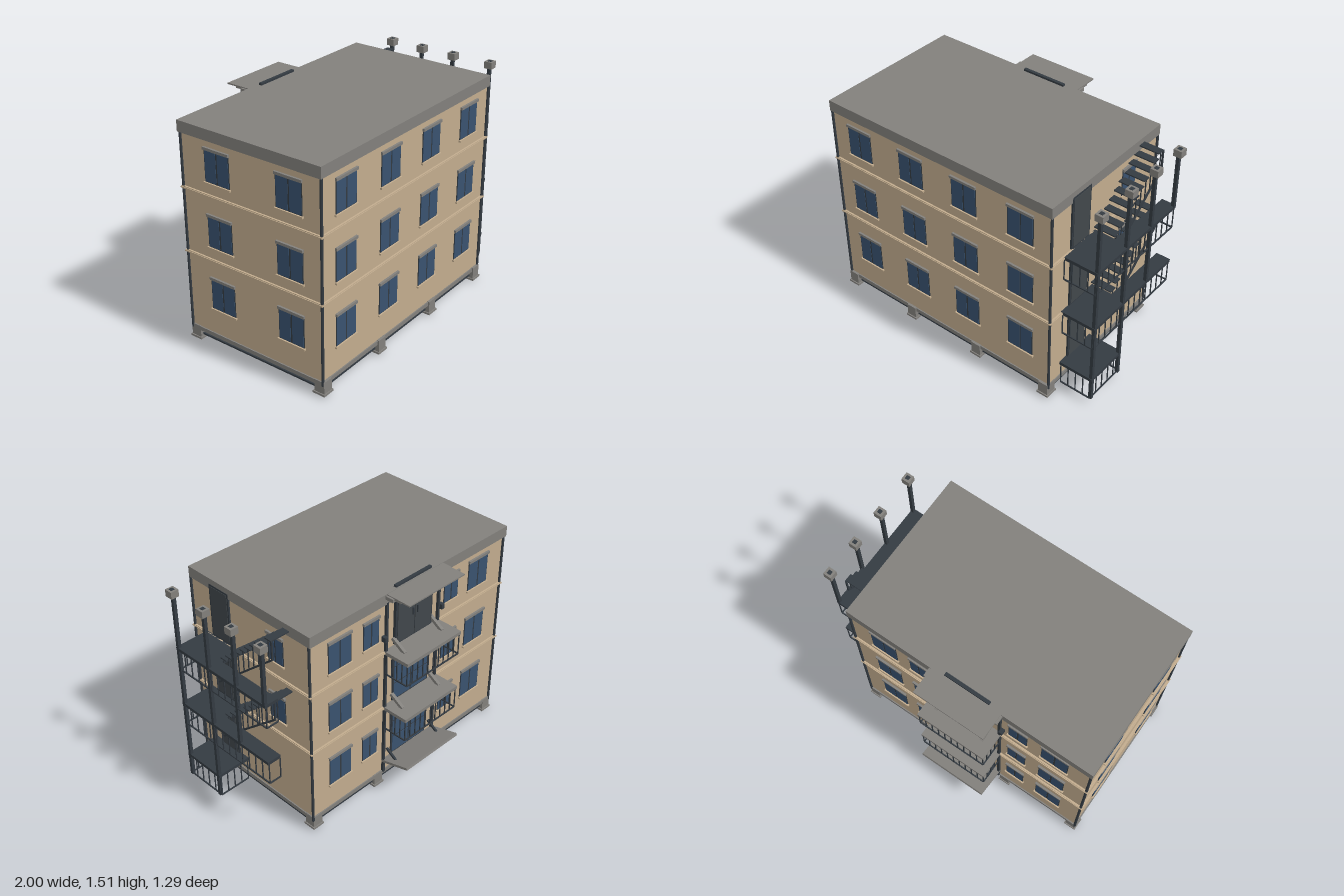
import * as THREE from 'three';

const mat = (name, color) => {
  const m = new THREE.MeshStandardMaterial({ color });
  m.name = name;
  return m;
};

export function createModel() {
  const tan = mat('tan wall', 0xc2ac8e);
  const gray = mat('concrete gray', 0x82807c);
  const steel = mat('dark steel', 0x343b42);
  const door = mat('door gray', 0x41474b);
  const glass = mat('blue glass', 0x39526f);
  const root = new THREE.Group();

  const group = (name, parent = root) => {
    const g = new THREE.Group();
    g.name = name;
    parent.add(g);
    return g;
  };
  // box from its limits
  const box = (p, name, m, x0, x1, y0, y1, z0, z1) => {
    const b = new THREE.Mesh(new THREE.BoxGeometry(x1 - x0, y1 - y0, z1 - z0), m);
    b.position.set((x0 + x1) / 2, (y0 + y1) / 2, (z0 + z1) / 2);
    b.name = name;
    p.add(b);
    return b;
  };
  // square bar between two points
  const bar = (p, name, m, a, c, w = 0.008, d = w) => {
    const A = new THREE.Vector3(...a), C = new THREE.Vector3(...c), dir = C.clone().sub(A);
    const b = new THREE.Mesh(new THREE.BoxGeometry(w, dir.length(), d), m);
    b.position.copy(A).add(C).multiplyScalar(0.5);
    b.quaternion.setFromUnitVectors(new THREE.Vector3(0, 1, 0), dir.normalize());
    b.name = name;
    p.add(b);
  };

  const X0 = -0.985, X1 = 0.73, Z0 = -0.415, Z1 = 0.62;
  // rectangular ring round the building: grows outward by o, t wide
  const ring = (name, m, y0, y1, o, t) => {
    const rect = (C, e) => {
      const s = new C();
      s.moveTo(X0 - e, -Z1 - e); s.lineTo(X1 + e, -Z1 - e);
      s.lineTo(X1 + e, -Z0 + e); s.lineTo(X0 - e, -Z0 + e);
      s.closePath();
      return s;
    };
    const s = rect(THREE.Shape, o);
    s.holes.push(rect(THREE.Path, o - t));
    const g = new THREE.ExtrudeGeometry(s, { depth: y1 - y0, bevelEnabled: false });
    const mesh = new THREE.Mesh(g.rotateX(-Math.PI / 2), m);
    mesh.position.y = y0;
    mesh.name = name;
    root.add(mesh);
  };

  // main body, recessed underside, slab and bands
  box(root, 'walls', tan, X0, X1, 0.2, 1.42, Z0, Z1);
  ring('parapet', tan, 0.1, 0.2, 0, 0.04);
  ring('coping', gray, 0.078, 0.106, 0.008, 0.055);
  ring('upperRail', steel, 0.064, 0.077, -0.01, 0.013);
  ring('lowerRail', steel, 0.04, 0.051, -0.01, 0.012);
  for (const y of [0.623, 1.056]) {
    ring('floorBand', tan, y, y + 0.018, 0.012, 0.02);
    ring('floorBandEdge', tan, y + 0.005, y + 0.013, 0.017, 0.02);
  }
  box(root, 'topSlab', gray, -1, 0.74, 1.42, 1.494, -0.432, 0.632);

  // corner pipes
  for (const x of [X0 - 0.003, X1 + 0.005]) for (const z of [Z0 - 0.004, Z1 + 0.004]) {
    const p = new THREE.Mesh(new THREE.CylinderGeometry(0.009, 0.009, 1.34, 10), steel);
    p.position.set(x, 0.75, z);
    p.name = 'cornerPipe';
    root.add(p);
  }

  // block feet
  for (const x of [-0.957, -0.412, 0.152, 0.7]) for (const z of [-0.388, 0.6]) {
    const f = group('foot');
    box(f, 'footBlock', gray, x - 0.036, x + 0.036, 0.025, 0.108, z - 0.037, z + 0.037);
    box(f, 'footPlate', gray, x - 0.043, x + 0.043, 0.014, 0.028, z - 0.044, z + 0.044);
  }

  // box units in the recess
  for (const x of [-0.36, 0.105]) {
    const u = group('boxUnit');
    box(u, 'unitBody', gray, x - 0.12, x + 0.12, 0.03, 0.2, 0.04, 0.24);
    box(u, 'unitPlate', gray, x - 0.145, x + 0.145, 0, 0.016, 0.02, 0.26);
    box(u, 'unitLip', gray, x - 0.132, x + 0.132, 0.016, 0.034, 0.03, 0.25);
    for (const z of [0.038, 0.242]) {
      box(u, 'unitFrame', steel, x - 0.075, x + 0.075, 0.06, 0.15, z - 0.003, z + 0.003);
      box(u, 'unitGlass', glass, x - 0.065, x + 0.065, 0.07, 0.14, z - 0.004, z + 0.004);
    }
  }

  // windows: local +z is outward
  const windowAt = (x, y, z, turn, w, h = 0.235) => {
    const g = group('window');
    g.position.set(x, y, z);
    g.rotation.y = turn;
    const a = w / 2;
    box(g, 'frame', steel, -a + 0.004, a - 0.004, 0.01, h - 0.015, -0.004, 0.004);
    for (const s of [-1, 1]) {
      const c = s * (a / 2 - 0.001), q = a / 2 - 0.007;
      box(g, 'pane', glass, c - q, c + q, 0.016, h - 0.02, 0.001, 0.006);
    }
    box(g, 'lintel', gray, -a, a, h - 0.018, h, -0.004, 0.014);
    box(g, 'sill', tan, -a - 0.004, a + 0.004, 0, 0.012, -0.004, 0.014);
  };
  for (const y of [0.275, 0.708, 1.14]) {
    for (const x of [-0.765, -0.338, 0.085, 0.51]) windowAt(x, y, Z1, 0, 0.198);
    for (const z of [-0.14, 0.395]) windowAt(X0, y, z, -Math.PI / 2, 0.198);
    for (const s of [-1, 1]) {
      windowAt(-0.127 + s * 0.62, y, Z0, Math.PI, 0.195);
      windowAt(-0.127 + s * 0.36, y + 0.015, Z0, Math.PI, 0.14, 0.21);
    }
    if (y > 0.6) windowAt(X1, y + 0.015, -0.13, Math.PI / 2, 0.145, 0.21);
  }

  // side doors
  for (const [y0, y1] of [[0.21, 0.6], [0.648, 1.033], [1.085, 1.455]]) {
    box(root, 'sideDoorFrame', steel, X1 - 0.01, X1 + 0.012, y0, y1, 0.268, 0.442);
    box(root, 'sideDoor', door, X1, X1 + 0.015, y0 + 0.012, y1 - 0.012, 0.28, 0.43);
  }

  // back bay: pipes, door and tall glazing
  const C = -0.127;
  for (const s of [-1, 1]) {
    const x = C + s * 0.235;
    box(root, 'bayPipe', steel, x - 0.008, x + 0.008, 0.1, 1.43, Z0 - 0.018, Z0);
    box(root, 'wallLamp', steel, x + s * 0.02 - 0.013, x + s * 0.02 + 0.013, 1.16, 1.195, Z0 - 0.035, Z0);
  }
  box(root, 'backDoorFrame', steel, C - 0.165, C + 0.165, 1.09, 1.455, Z0 - 0.02, Z0);
  for (const s of [-1, 1]) {
    const c = C + s * 0.077;
    box(root, 'backDoorLeaf', door, c - 0.073, c + 0.073, 1.1, 1.445, Z0 - 0.025, Z0);
    box(root, 'doorHandle', steel, C + s * 0.02 - 0.004, C + s * 0.02 + 0.004, 1.25, 1.3, Z0 - 0.033, Z0 - 0.02);
  }
  for (const [y0, y1] of [[0.21, 0.61], [0.65, 1.04]]) {
    const g = group('tallGlazing');
    box(g, 'glazingFrame', steel, C - 0.165, C + 0.165, y0, y1, Z0 - 0.008, Z0);
    const h = (y1 - y0 - 0.01) / 3;
    for (let r = 0; r < 3; r++) for (const s of [-1, 1]) {
      const c = C + s * 0.08, y = y0 + 0.005 + r * h;
      box(g, 'glazingPane', glass, c - 0.074, c + 0.074, y + 0.005, y + h - 0.005, Z0 - 0.011, Z0 - 0.002);
    }
  }

  // balconies with hanging railings and braces
  for (const y of [0.622, 1.052]) {
    const g = group('balcony');
    box(g, 'balconySlab', gray, C - 0.245, C + 0.245, y, y + 0.024, -0.612, Z0);
    const xa = C - 0.238, xb = C + 0.238, z = -0.604, low = y - 0.148;
    bar(g, 'rail', steel, [xa, low, z], [xb, low, z]);
    for (let i = 0; i <= 10; i++) {
      const x = xa + (xb - xa) * i / 10;
      bar(g, 'baluster', steel, [x, low, z], [x, y, z], 0.006);
    }
    for (const x of [xa, xb]) {
      bar(g, 'sideRail', steel, [x, low, z], [x, low, Z0]);
      for (let i = 1; i < 5; i++) bar(g, 'baluster', steel, [x, low, z + i * 0.042], [x, y, z + i * 0.042], 0.006);
    }
    for (const s of [-1, 1])
      bar(g, 'brace', gray, [C + s * 0.17, y + 0.085, Z0 - 0.005], [C + s * 0.17, y + 0.022, -0.52], 0.022);
  }

  // sloping canopy
  const canopy = box(root, 'canopy', gray, C - 0.245, C + 0.245, -0.009, 0.009, -0.115, 0.115);
  canopy.position.set(C, 0.222, -0.528);
  canopy.rotation.x = 0.28;
  for (const s of [-1, 1])
    bar(root, 'canopyBrace', steel, [C + s * 0.2, 0.275, Z0 - 0.005], [C + s * 0.2, 0.215, -0.51], 0.014);

  // entrance steps and strip at the top
  box(root, 'wideStep', gray, C - 0.258, C + 0.258, 1.462, 1.486, -0.49, -0.42);
  box(root, 'middleStep', gray, C - 0.245, C + 0.245, 1.474, 1.488, -0.54, -0.42);
  box(root, 'thinStep', gray, C - 0.245, C + 0.245, 1.483, 1.492, -0.608, -0.42);
  box(root, 'topStrip', steel, -0.285, 0.03, 1.48, 1.507, -0.424, -0.402);

  // side landings with hanging railings
  const PX = 0.965;
  for (const [y, zb] of [[0.197, 0.192], [0.622, -0.3], [1.052, -0.3]]) {
    const g = group('landing');
    const top = y + 0.022, low = y - 0.15;
    box(g, 'landingDeck', steel, X1, 0.975, y, top, 0.195, 0.51);
    if (zb < 0) box(g, 'landingWalk', steel, 0.876, 0.975, y, top, zb, 0.195);
    const railing = (a, c, n) => {
      bar(g, 'landingRail', steel, [a[0], low, a[1]], [c[0], low, c[1]]);
      for (let i = 0; i <= n; i++) {
        const x = a[0] + (c[0] - a[0]) * i / n, z = a[1] + (c[1] - a[1]) * i / n;
        bar(g, 'landingBaluster', steel, [x, low, z], [x, y, z], 0.006);
      }
    };
    railing([PX, 0.505], [PX, zb + 0.004], zb < 0 ? 13 : 5);
    railing([X1 + 0.01, 0.505], [PX, 0.505], 4);
    railing([zb < 0 ? 0.878 : X1 + 0.01, zb + 0.004], [PX, zb + 0.004], zb < 0 ? 1 : 4);
  }

  // posts with caps
  for (const [z, y0] of [[0.495, 0.045], [0.21, 0.045], [-0.04, 0.63], [-0.287, 1.06]]) {
    const g = group('post');
    box(g, 'postShaft', steel, PX - 0.011, PX + 0.011, y0, 1.46, z - 0.011, z + 0.011);
    box(g, 'postCap', gray, 0.942, 0.998, 1.447, 1.494, z - 0.028, z + 0.028);
    box(g, 'capInset', steel, 0.957, 0.983, 1.49, 1.496, z - 0.013, z + 0.013);
  }

  // stair flights: treads on thin uprights above a sloping bar
  for (const y of [0.665, 1.098]) {
    const g = group('stairFlight');
    const x = 0.872;
    for (let i = 0; i < 10; i++) {
      const z = 0.18 - i * 0.0465, ty = y + i * 0.0395;
      box(g, 'tread', steel, X1, 0.876, ty - 0.004, ty + 0.004, z - 0.026, z + 0.026);
      bar(g, 'upright', steel, [x, ty - 0.148, z], [x, ty, z], 0.006);
    }
    bar(g, 'slopeBar', steel, [x, y - 0.2, 0.24], [x, y + 0.228, -0.264], 0.011);
    bar(g, 'endBar', steel, [x, y + 0.225, -0.264], [x, y + 0.356, -0.264], 0.01);
  }
  return root;
}
